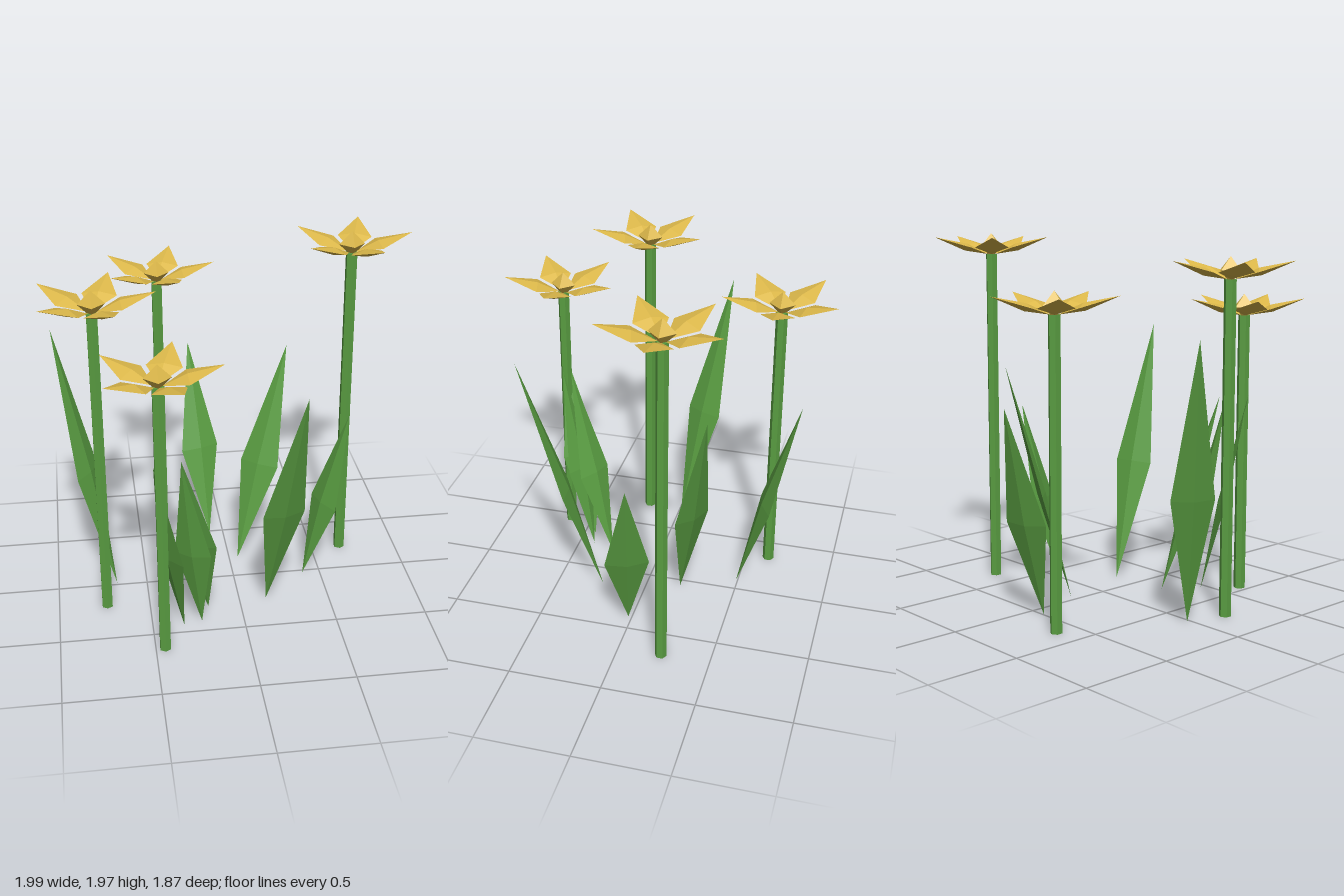
import * as THREE from 'three';

// Faceted spindle from base to tip, widest at fraction f of its length
function spindle(base, tip, side, f, thickness) {
  const axis = tip.clone().sub(base);
  const mid = base.clone().addScaledVector(axis, f);
  const normal = axis.clone().cross(side).normalize().multiplyScalar(thickness);
  const ring = [
    mid.clone().add(side), mid.clone().add(normal),
    mid.clone().sub(side), mid.clone().sub(normal),
  ];
  const points = [];
  for (let i = 0; i < 4; i++) {
    const a = ring[i], b = ring[(i + 1) % 4];
    points.push(a, b, tip, b, a, base);
  }
  const geometry = new THREE.BufferGeometry().setFromPoints(points);
  geometry.computeVertexNormals();
  return geometry;
}

export function createModel() {
  const model = new THREE.Group();
  model.name = 'flowerPatch';

  const green = new THREE.MeshStandardMaterial({ color: 0x5a9e42, flatShading: true });
  green.name = 'leafGreen';
  const gold = new THREE.MeshStandardMaterial({ color: 0xdcb84a, flatShading: true });
  gold.name = 'petalGold';

  const add = (parent, name, geometry, material) => {
    const mesh = new THREE.Mesh(geometry, material);
    mesh.name = name;
    parent.add(mesh);
    return mesh;
  };

  // Flowers: x, z, stem height
  const petal = spindle(
    new THREE.Vector3(0.02, 0, 0), new THREE.Vector3(0.325, 0.095, 0),
    new THREE.Vector3(0, 0, 0.092), 0.42, 0.02);
  const heart = new THREE.OctahedronGeometry(0.07);
  const flowers = [
    [-0.35, -0.63, 1.595],
    [0.67, -0.235, 1.85],
    [-0.735, 0.195, 1.75],
    [-0.45, 0.625, 1.53],
  ];
  for (const [x, z, h] of flowers) {
    const flower = new THREE.Group();
    flower.name = 'flower';
    flower.position.set(x, 0, z);
    model.add(flower);
    const stem = new THREE.CylinderGeometry(0.032, 0.032, h, 6);
    add(flower, 'stem', stem, green).position.y = h / 2;
    add(flower, 'flowerCentre', heart, gold).position.y = h + 0.045;
    for (let i = 0; i < 5; i++) {
      const p = add(flower, 'petal', petal, gold);
      p.position.y = h;
      p.rotation.y = (i * Math.PI * 2) / 5;
    }
  }

  // Leaves: base x, z; tip x, y, z; half width x, z
  const leaves = [
    [-0.67, -0.02, -0.955, 1.49, -0.25, 0.055, -0.102],
    [-0.08, -0.49, -0.165, 1.135, -0.8, 0.11, -0.04],
    [0.05, -0.19, 0.355, 1.26, -0.39, 0.095, 0.07],
    [0.40, 0.02, 0.655, 0.98, -0.04, 0.045, 0.11],
    [0.15, 0.24, 0.28, 1.43, 0.655, 0.115, -0.025],
    [-0.18, 0.28, -0.34, 1.08, 0.56, 0.1, 0.05],
    [-0.23, 0.41, -0.345, 1.08, 0.61, 0.09, 0.04],
    [-0.33, 0.435, -0.485, 1.1, 0.635, 0.055, 0.1],
  ];
  for (const [bx, bz, tx, ty, tz, sx, sz] of leaves) {
    const leaf = spindle(
      new THREE.Vector3(bx, 0, bz), new THREE.Vector3(tx, ty, tz),
      new THREE.Vector3(sx, 0, sz), 0.455, 0.023);
    add(model, 'leaf', leaf, green);
  }

  return model;
}
